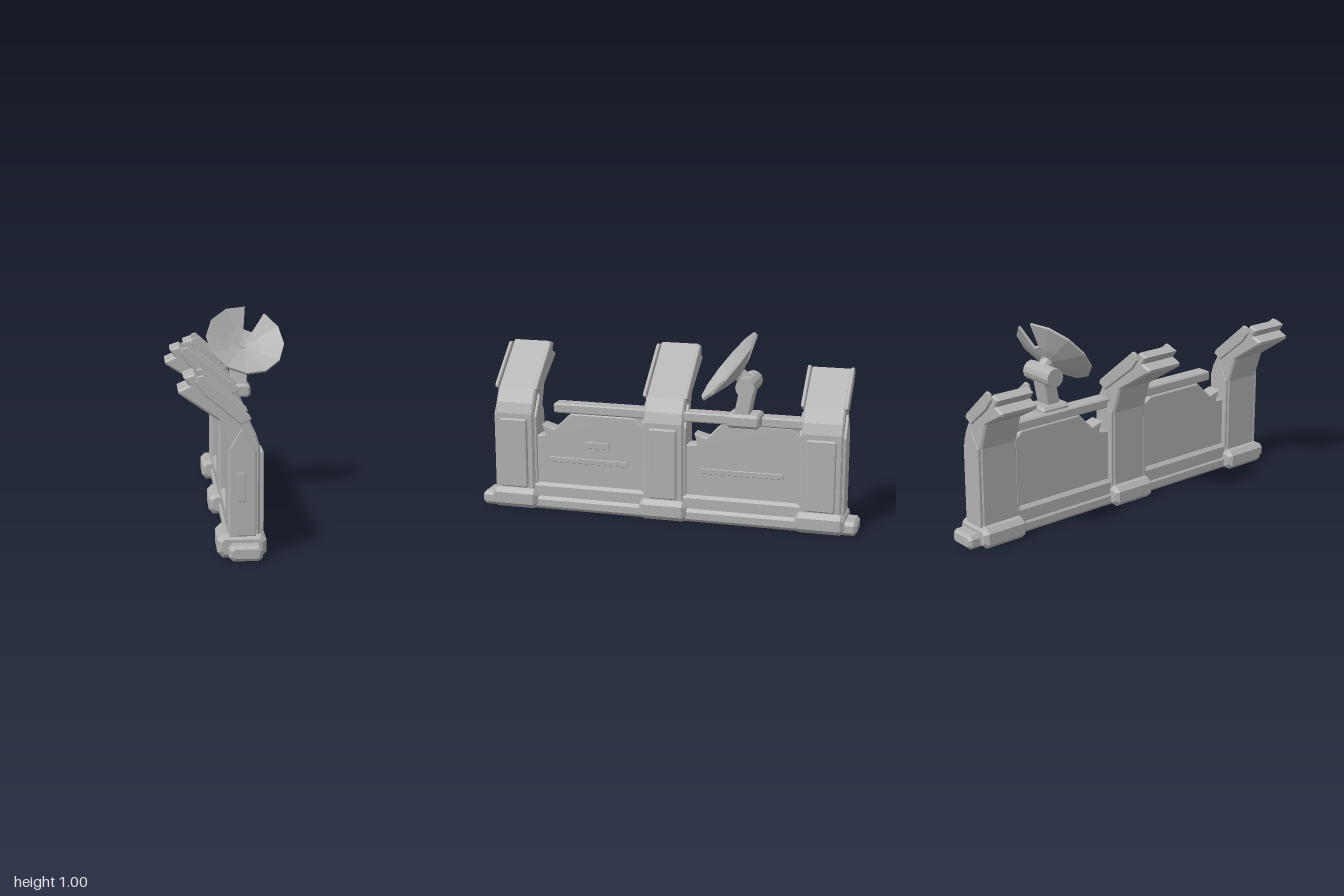
import * as THREE from 'three';

const grey = new THREE.MeshStandardMaterial({ color: 0xb0b0b0, side: THREE.DoubleSide });
grey.name = 'concrete grey';

const shapeOf = (pts) => new THREE.Shape(pts.map(([x, y]) => new THREE.Vector2(x, y)));

function add(parent, name, geometry) {
  const mesh = new THREE.Mesh(geometry, grey);
  mesh.name = name;
  parent.add(mesh);
  return mesh;
}

// Outline in x,y pushed from z0 to z1, with a small chamfer kept inside the outline
function slab(pts, z0, z1, c) {
  const g = new THREE.ExtrudeGeometry(shapeOf(pts), {
    depth: z1 - z0 - 2 * c, bevelEnabled: c > 0, bevelThickness: c,
    bevelSize: c, bevelOffset: -c, bevelSegments: 1,
  });
  return g.translate(0, 0, z0 + c);
}

// Box with all edges cut at the chamfer size
function block(x0, x1, y0, y1, z0, z1, c) {
  return slab([
    [x0 + c, y0], [x1 - c, y0], [x1, y0 + c], [x1, y1 - c],
    [x1 - c, y1], [x0 + c, y1], [x0, y1 - c], [x0, y0 + c],
  ], z0, z1, c * 0.8);
}

// Outline in z,y made into a wall from x0 to x1
function wall(pts, x0, x1, c) {
  return slab(pts, 0, x1 - x0, c).rotateY(-Math.PI / 2).translate(x1, 0, 0);
}

function faceted(g) {
  const flat = g.index ? g.toNonIndexed() : g;
  flat.computeVertexNormals();
  return flat;
}

// Pillar with a leaning, broken-off upper end; dx, dy move the break
function pillar(name, z, dx, dy, plateTop) {
  const p = new THREE.Group();
  p.name = name;
  p.position.z = z;
  const broken = [[-0.25, 0.865], [-0.3, 0.848], [-0.275, 0.812], [-0.325, 0.79], [-0.32, 0.773]]
    .map(([x, y]) => [x + dx, y + dy]);
  add(p, 'pillarBody', slab([
    [-0.055, 0.05], [0.09, 0.05], [0.09, 0.51], [0.073, 0.565], [0.035, 0.635],
    ...broken, [-0.1, 0.635],  [-0.055, 0.5],
  ], -0.105, 0.105, 0.009));
  add(p, 'foot', block(-0.105, 0.12, 0, 0.107, -0.125, 0.125, 0.025));
  add(p, 'outerPanel', block(0.085, 0.11, 0.115, 0.485, -0.073, 0.073, 0.006));
  const [px, py] = plateTop;
  for (const s of [-1, 1]) {
    const z0 = s > 0 ? 0.1 : -0.118;
    add(p, 'lowerSidePlate', slab([
      [-0.05, 0.1], [0.072, 0.1], [0.072, 0.495], [0.008, 0.602], [-0.05, 0.505],
    ], z0, z0 + 0.018, 0.004));
    add(p, 'upperSidePlate', slab([
      [0.003, 0.615], [0.05, 0.64], [0.04, 0.66], [px + 0.025, py],
      [px, py - 0.005], [px - 0.012, py - 0.035], [px + 0.03, py - 0.09],
    ], z0, z0 + 0.018, 0.004));
  }
  return p;
}

// Dish with one outer segment missing, facing along its own y
function dish() {
  const g = new THREE.Group();
  g.name = 'dish';
  const n = new THREE.Vector3(0.17, 0.63, 0.755).normalize();
  const u = new THREE.Vector3(0, 1, 0).addScaledVector(n, -n.y).normalize();
  const w = u.clone().cross(n);
  g.quaternion.setFromRotationMatrix(new THREE.Matrix4().makeBasis(w, n, u.clone().negate()));
  g.position.set(0.115, 0.84, -0.345);

  const start = THREE.MathUtils.degToRad(170.5);
  const step = Math.PI / 6;
  const vec = (pts) => pts.map(([r, y]) => new THREE.Vector2(r, y));
  const inner = [[0, -0.078], [0.093, -0.054], [0.093, -0.04], [0, -0.064]];
  const outer = [[0.093, -0.054], [0.215, -0.008], [0.212, 0.004], [0.093, -0.04]];
  add(g, 'dishCentre', faceted(new THREE.LatheGeometry(vec(inner), 12, start)));
  add(g, 'dishRing', faceted(new THREE.LatheGeometry(vec(outer), 11, start, step * 11)));
  for (const phi of [start, start - step]) {
    add(g, 'notchEdge', new THREE.ShapeGeometry(shapeOf(outer)).rotateY(phi - Math.PI / 2));
  }
  add(g, 'feedStub', faceted(new THREE.CylinderGeometry(0.018, 0.018, 0.012, 10))).position.y = -0.06;
  add(g, 'dishHub', faceted(new THREE.CylinderGeometry(0.036, 0.036, 0.07, 10))).position.y = -0.105;
  return g;
}

export function createModel() {
  const model = new THREE.Group();
  model.name = 'ruinedBarrier';

  // Long base and the three pillars
  add(model, 'plinth', block(-0.055, 0.098, 0, 0.072, -1, 1, 0.018));
  const front = pillar('frontPillar', 0.812, 0.045, -0.02, [-0.19, 0.84]);
  add(front, 'frontBadgePlate', block(-0.015, 0.024, 0.263, 0.397, 0.115, 0.128, 0.003));
  model.add(front, pillar('middlePillar', 0.002, 0, 0, [-0.235, 0.862]),
    pillar('backPillar', -0.815, 0.09, -0.065, [-0.155, 0.812]));

  // Broken wall panels between the pillars
  const bays = [
    [[0.1, 0.06], [0.72, 0.06], [0.72, 0.39], [0.65, 0.4], [0.67, 0.455], [0.6, 0.435],
      [0.51, 0.522], [0.17, 0.522], [0.12, 0.485], [0.1, 0.485]],
    [[-0.72, 0.06], [-0.1, 0.06], [-0.1, 0.4], [-0.17, 0.41], [-0.155, 0.463], [-0.22, 0.445],
      [-0.3, 0.527], [-0.66, 0.527], [-0.7, 0.485], [-0.72, 0.485]],
  ];
  bays.forEach((pts, i) => {
    add(model, 'wallPanel', wall(pts, -0.025, 0.06, 0.006));
    const z0 = i ? -0.72 : 0.1;
    add(model, 'wallSkirt', slab([
      [-0.046, 0.06], [0.082, 0.06], [0.082, 0.125], [0.066, 0.14], [-0.031, 0.14], [-0.046, 0.125],
    ], z0, z0 + 0.62, 0));
    const zs = i ? -0.62 : 0.2;
    add(model, 'longSlat', block(0.055, 0.068, 0.257, 0.285, zs, zs + 0.425, 0.002));
  });
  add(model, 'shortSlat', block(0.055, 0.068, 0.343, 0.378, 0.298, 0.428, 0.002));

  // Top rail
  add(model, 'topRail', block(-0.02, 0.065, 0.523, 0.574, -0.73, 0.6, 0.007));

  // Dish mount
  add(model, 'mountBase', block(0, 0.142, 0.528, 0.598, -0.506, -0.34, 0.014));
  const arm = add(model, 'mountArm', block(-0.046, 0.046, -0.09, 0.08, -0.037, 0.037, 0.006));
  arm.position.set(0.08, 0.665, -0.427);
  arm.rotation.x = -0.2;
  const pivot = add(model, 'mountPivot', faceted(new THREE.CylinderGeometry(0.049, 0.049, 0.2, 12)));
  pivot.rotation.z = Math.PI / 2;
  pivot.position.set(0.083, 0.747, -0.442);
  model.add(dish());

  return model;
}
